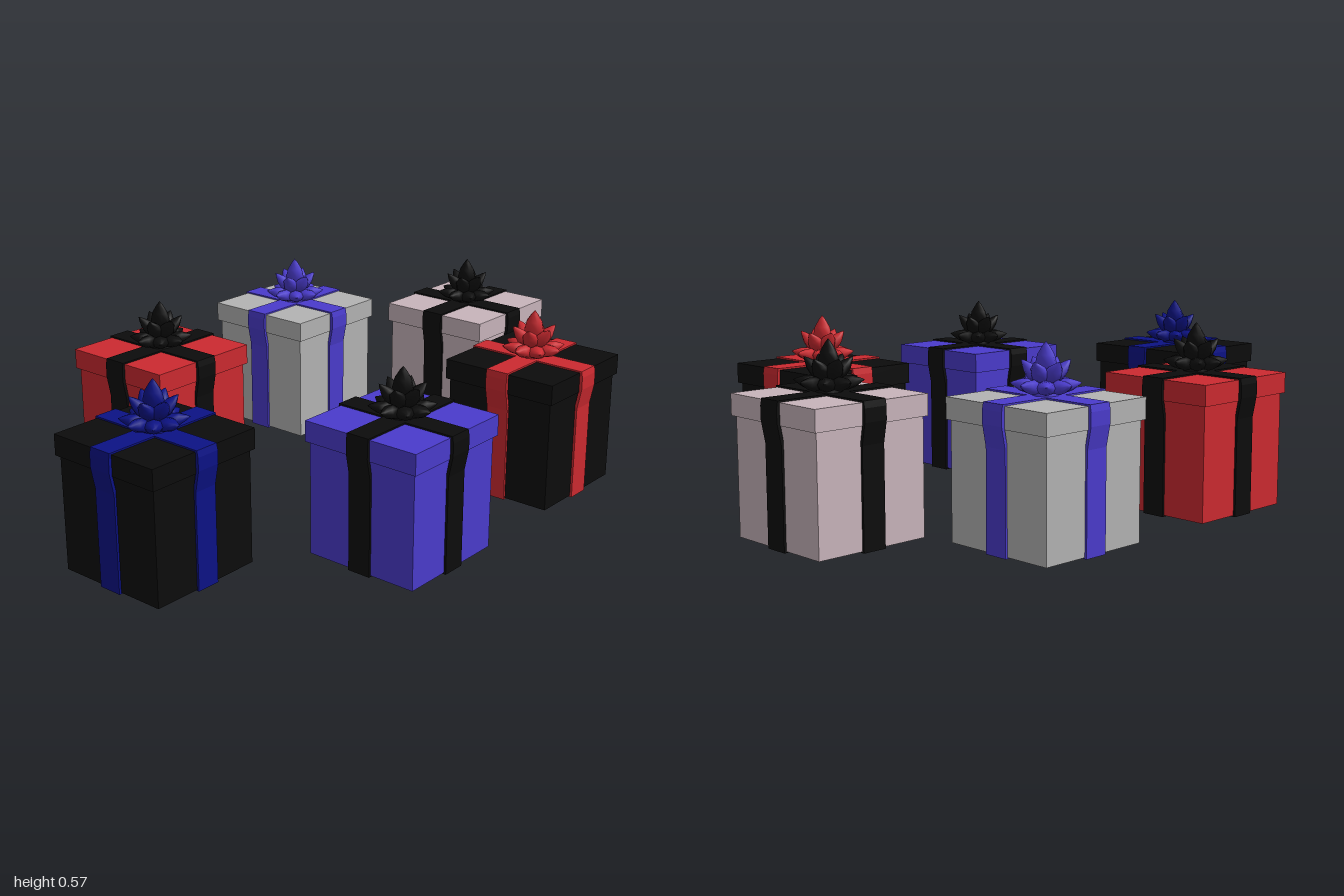
import * as THREE from 'three';

const RED = 0xcc2a30, BLUE = 0x4a3bcc, BLACK = 0x0c0c0c, PINK = 0xc8b4bb, GREY = 0xb3b3b3, NAVY = 0x0c1285;
const RIBBON_W = 0.076;

// Closed band around the box that flares out over the lid rim
function ribbonGeometry() {
  const half = [[0.193, 0], [0.193, 0.30], [0.206, 0.365], [0.206, 0.405], [0.202, 0.425]];
  const inner = [[0.184, 0.008], [0.184, 0.302], [0.196, 0.366], [0.196, 0.417]];
  const loop = (pts) => [...pts, ...pts.slice().reverse().map(([x, y]) => [-x, y])]
    .map(([x, y]) => new THREE.Vector2(x, y));
  const shape = new THREE.Shape(loop(half));
  shape.holes.push(new THREE.Path(loop(inner)));
  return new THREE.ExtrudeGeometry(shape, { depth: RIBBON_W, bevelEnabled: false })
    .translate(0, 0, -RIBBON_W / 2);
}

// One pointed bow loop, growing from the origin along +y, flattened in z
function loopGeometry(length, width) {
  const profile = [[0.004, 0], [0.3, 0.22], [0.5, 0.48], [0.4, 0.7], [0.16, 0.9], [0, 1]]
    .map(([r, t]) => new THREE.Vector2(r * width, t * length));
  return new THREE.LatheGeometry(profile, 8).scale(1, 1, 0.75);
}

const bandGeo = ribbonGeometry();
const bodyGeo = new THREE.BoxGeometry(0.372, 0.376, 0.372).translate(0, 0.192, 0);
const lidGeo = new THREE.BoxGeometry(0.392, 0.064, 0.392).translate(0, 0.388, 0);

function makeBow(material) {
  const bow = new THREE.Group();
  bow.name = 'bow';
  // Tiers: loop count, length, width, elevation, start height, twist
  const tiers = [
    [8, 0.102, 0.056, 0.17, 0.022, 0],
    [6, 0.105, 0.056, 0.85, 0.026, 0.3],
    [1, 0.125, 0.07, Math.PI / 2, 0.03, 0],
  ];
  tiers.forEach(([count, length, width, elevation, y, twist], tier) => {
    const geo = loopGeometry(length, width);
    for (let i = 0; i < count; i++) {
      const loop = new THREE.Mesh(geo, material);
      loop.name = ['lowerLoop', 'upperLoop', 'centreLoop'][tier];
      loop.rotation.set(Math.PI / 2 - elevation, twist + (i / count) * Math.PI * 2, 0, 'YXZ');
      loop.position.y = y;
      bow.add(loop);
    }
  });
  const knot = new THREE.Mesh(new THREE.CylinderGeometry(0.03, 0.04, 0.06, 10), material);
  knot.name = 'bowKnot';
  knot.position.y = 0.03;
  bow.add(knot);
  bow.position.y = 0.42;
  return bow;
}

function makeGift(name, x, z, boxColor, ribbonColor) {
  const gift = new THREE.Group();
  gift.name = name;
  const paper = new THREE.MeshStandardMaterial({ color: boxColor });
  const satin = new THREE.MeshStandardMaterial({ color: ribbonColor });
  const add = (part, geo, mat) => {
    const mesh = new THREE.Mesh(geo, mat);
    mesh.name = part;
    gift.add(mesh);
    return mesh;
  };
  add('boxBody', bodyGeo, paper);
  add('boxLid', lidGeo, paper);
  add('ribbonAcross', bandGeo, satin);
  add('ribbonFrontToBack', bandGeo, satin).rotation.y = Math.PI / 2;
  gift.add(makeBow(satin));
  gift.position.set(x, 0, z);
  return gift;
}

export function createModel() {
  const model = new THREE.Group();
  model.name = 'giftBoxes';
  // Ring of six gifts: name, x, z, box colour, ribbon colour
  [
    ['pinkGift', -0.03, -0.794, PINK, BLACK],
    ['greyGift', -0.5, -0.405, GREY, BLUE],
    ['blackRedGift', 0.49, -0.424, BLACK, RED],
    ['redGift', -0.485, 0.268, RED, BLACK],
    ['blueGift', 0.5, 0.27, BLUE, BLACK],
    ['blackNavyGift', 0.037, 0.794, BLACK, NAVY],
  ].forEach((g) => model.add(makeGift(...g)));
  return model;
}
